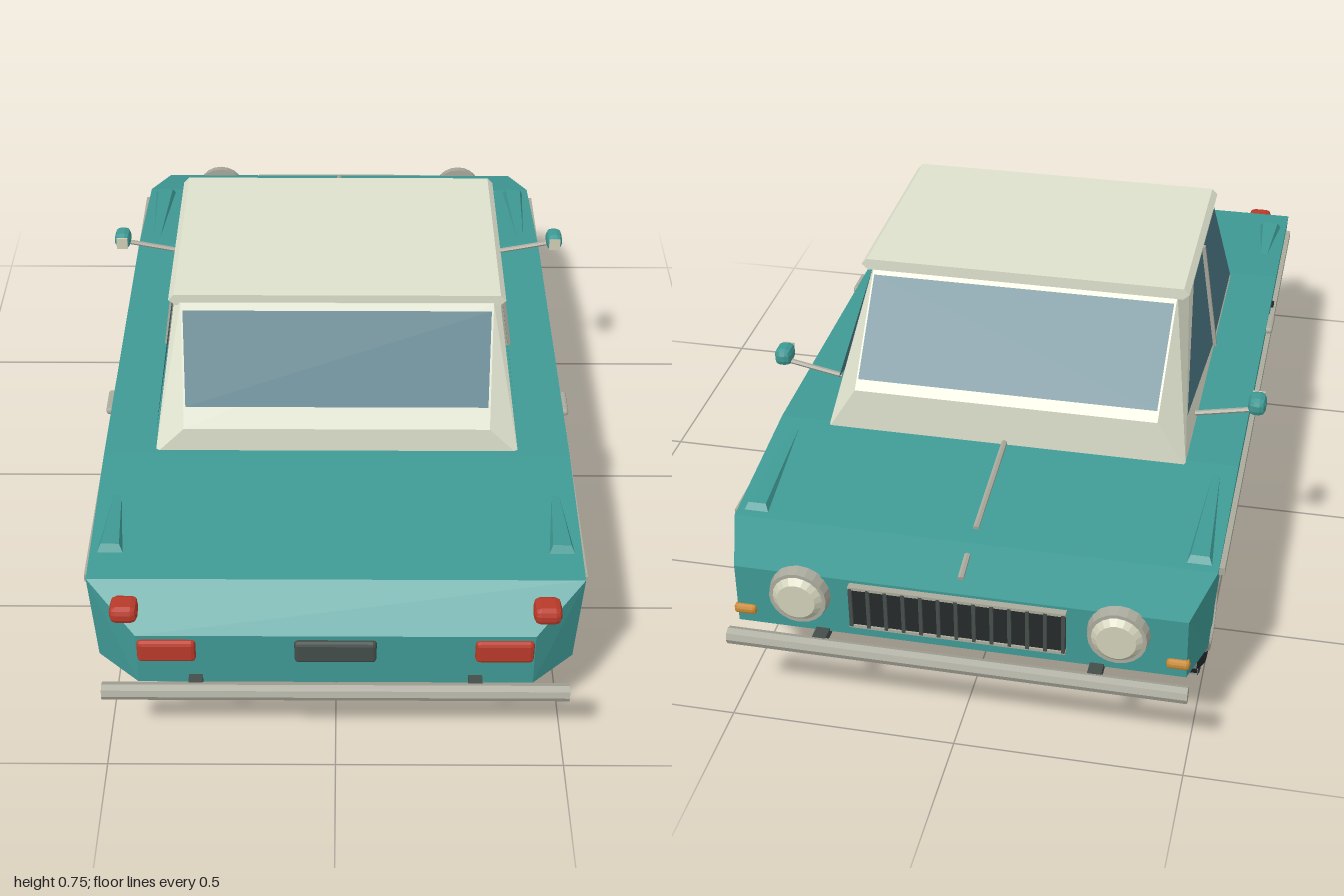
import * as THREE from 'three';
import { ConvexGeometry } from 'three/addons/geometries/ConvexGeometry.js';
import { RoundedBoxGeometry } from 'three/addons/geometries/RoundedBoxGeometry.js';

const mat = (color, extra = {}) => {
  const m = new THREE.MeshStandardMaterial({ flatShading: true, ...extra });
  m.color.set(color);
  return m;
};
const teal = mat(0x3f9994), cream = mat(0xdde0cc), glass = mat(0x4a7682, { side: THREE.DoubleSide });
const chrome = mat(0xa9a99c), black = mat(0x25292b), red = mat(0xb83a2a), orange = mat(0xc98a35);
const lens = mat(0xd0cfb8), grey = mat(0x444d4a);

const V = (x, y, z) => new THREE.Vector3(x, y, z);

function add(parent, name, geo, material, x = 0, y = 0, z = 0) {
  const m = new THREE.Mesh(geo, material);
  m.name = name;
  m.position.set(x, y, z);
  parent.add(m);
  return m;
}
const box = (p, name, material, w, h, d, x, y, z) => add(p, name, new THREE.BoxGeometry(w, h, d), material, x, y, z);
const soft = (p, name, material, w, h, d, x, y, z) =>
  add(p, name, new RoundedBoxGeometry(w, h, d, 1, Math.min(w, h, d) * 0.35), material, x, y, z);

// Straight bar between two points
function bar(p, name, material, a, b, r, sides = 6) {
  const m = add(p, name, new THREE.CylinderGeometry(r, r, a.distanceTo(b), sides), material);
  m.position.copy(a).lerp(b, 0.5);
  m.quaternion.setFromUnitVectors(V(0, 1, 0), b.clone().sub(a).normalize());
  return m;
}

// Flat panel from corner points, given in order around its edge
function panel(p, name, material, pts) {
  const g = new THREE.BufferGeometry().setFromPoints(pts);
  const index = [];
  for (let i = 1; i < pts.length - 1; i++) index.push(0, i, i + 1);
  g.setIndex(index);
  g.computeVertexNormals();
  return add(p, name, g, material);
}

// Half width of the bodywork, drawn in at both ends
function halfWidth(y, z) {
  const w = 0.52 + 0.015 * (y - 0.19) / 0.24;
  if (z > 0.85) return THREE.MathUtils.lerp(w, 0.425, (z - 0.85) / 0.095);
  if (z < -0.8) return THREE.MathUtils.lerp(w, 0.49, (-0.8 - z) / 0.135);
  return w;
}

// Side profile extruded from x0 to x1, outer corners follow halfWidth
function slab(p, name, shape, x0, x1) {
  const g = new THREE.ExtrudeGeometry(shape, { depth: x1 - x0, bevelEnabled: false, curveSegments: 14 });
  g.translate(0, 0, x0).rotateY(Math.PI / 2);
  const a = g.attributes.position;
  for (let i = 0; i < a.count; i++) {
    const x = a.getX(i);
    if (Math.abs(x) > 0.5) a.setX(i, Math.sign(x) * halfWidth(a.getY(i), a.getZ(i)));
  }
  g.computeVertexNormals();
  return add(p, name, g, teal);
}
const profile = pts => new THREE.Shape(pts.map(([z, y]) => new THREE.Vector2(-z, y)));

const AXLES = [0.63, -0.62], ARCH = 0.175, HUB_Y = 0.145;

function buildBody(car) {
  const g = new THREE.Group();
  g.name = 'body';
  car.add(g);
  const top = [[-0.8, 0.19], [-0.8, 0.393], [-0.45, 0.43], [0.45, 0.43], [0.85, 0.41], [0.85, 0.19]];
  slab(g, 'bodyCentre', profile(top), -0.37, 0.37);
  slab(g, 'nose', profile([[-0.8, 0.19], [-0.935, 0.215], [-0.935, 0.36], [-0.8, 0.393]]), -0.54, 0.54);
  slab(g, 'tail', profile([[0.85, 0.19], [0.945, 0.2], [0.945, 0.335], [0.85, 0.41]]), -0.54, 0.54);
  // flanks with wheel arches
  const flank = profile(top);
  const a = Math.asin((0.19 - HUB_Y) / ARCH);
  for (const z of AXLES) flank.absarc(-z, HUB_Y, ARCH, Math.PI - a, a, true);
  flank.lineTo(0.8, 0.19);
  for (const s of [1, -1]) {
    slab(g, 'flank', flank, s > 0 ? 0.37 : -0.54, s > 0 ? 0.54 : -0.37);
    for (const z of AXLES) {
      const liner = add(g, 'archLiner', new THREE.CircleGeometry(ARCH - 0.002, 20, a, Math.PI - 2 * a), black, s * 0.374, HUB_Y, z);
      liner.rotation.y = s * Math.PI / 2;
    }
    // tapering ridges on the wings
    for (const [zw, zt, y0, y1] of [[0.78, 0.58, 0.414, 0.423], [-0.79, -0.49, 0.394, 0.426]]) {
      const end = Math.sign(zw) * 0.02;
      add(g, 'wingRidge', new ConvexGeometry([
        V(s * 0.455, y0 - 0.015, zw), V(s * 0.525, y0 - 0.015, zw), V(s * 0.47, y0 + 0.016, zw - end),
        V(s * 0.51, y0 + 0.016, zw - end), V(s * 0.482, y1, zt), V(s * 0.498, y1, zt), V(s * 0.49, y1 - 0.02, zt)]), teal);
    }
    // side trim, door seams and handle
    box(g, 'sideTrim', chrome, 0.016, 0.018, 1.58, s * 0.536, 0.375, 0.02);
    const seam = box(g, 'doorSeam', black, 0.008, 0.18, 0.008, s * 0.53, 0.31, 0.37);
    seam.rotation.z = -s * 0.06;
    box(g, 'doorSill', black, 0.008, 0.008, 0.7, s * 0.524, 0.222, 0.02);
    soft(g, 'doorHandle', chrome, 0.02, 0.016, 0.08, s * 0.54, 0.413, 0.23);
  }
  // bonnet strip
  bar(g, 'bonnetStrip', chrome, V(0, 0.434, -0.46), V(0, 0.4, -0.755), 0.007);
  bar(g, 'bonnetBadgeStrip', chrome, V(0, 0.388, -0.835), V(0, 0.373, -0.9), 0.007);
}

function buildCabin(car) {
  const g = new THREE.Group();
  g.name = 'cabin';
  car.add(g);
  const pts = [];
  for (const s of [1, -1]) pts.push(
    V(s * 0.418, 0.42, 0.435), V(s * 0.418, 0.42, -0.465), V(s * 0.35, 0.49, 0.432), V(s * 0.35, 0.53, -0.463),
    V(s * 0.372, 0.735, 0.262), V(s * 0.372, 0.735, -0.15), V(s * 0.357, 0.735, 0.28), V(s * 0.357, 0.735, -0.24));
  add(g, 'cabinShell', new ConvexGeometry(pts), cream);
  // roof plate with pointed side edges
  const roof = new THREE.Shape([[-0.37, 0.728], [0.37, 0.728], [0.385, 0.741], [0.372, 0.755], [-0.372, 0.755], [-0.385, 0.741]]
    .map(q => new THREE.Vector2(...q)));
  add(g, 'roof', new THREE.ExtrudeGeometry(roof, { depth: 0.525, bevelEnabled: false }).translate(0, 0, -0.247), cream);
  // windscreens, lying just off the shell
  const rearZ = y => 0.436 - (y - 0.49) * 0.62, frontZ = y => -0.467 + (y - 0.53) * 1.088;
  for (const [name, f, y0] of [['rearWindow', rearZ, 0.535], ['windscreen', frontZ, 0.55]])
    panel(g, name, glass, [V(-0.346, y0, f(y0)), V(0.346, y0, f(y0)), V(0.352, 0.722, f(0.722)), V(-0.352, 0.722, f(0.722))]);
  // side glass, door pillar and mirror
  const sideX = y => 0.423 - (y - 0.42) * 0.146;
  for (const s of [1, -1]) {
    const side = (name, list) => panel(g, name, glass, list.map(([z, y]) => V(s * sideX(y), y, z)));
    side('rearSideWindow', [[0.395, 0.457], [0.262, 0.712], [0.043, 0.712], [0.043, 0.457]]);
    side('frontSideWindow', [[0.028, 0.457], [0.028, 0.712], [-0.13, 0.712], [-0.395, 0.515]]);
    bar(g, 'doorPillar', chrome, V(s * sideX(0.45), 0.45, 0.035), V(s * sideX(0.72), 0.72, 0.035), 0.009);
    bar(g, 'mirrorStalk', chrome, V(s * 0.42, 0.485, -0.335), V(s * 0.545, 0.51, -0.335), 0.006);
    soft(g, 'mirrorHousing', teal, 0.04, 0.042, 0.055, s * 0.56, 0.525, -0.33);
    box(g, 'mirrorGlass', lens, 0.028, 0.03, 0.004, s * 0.56, 0.525, -0.302);
  }
}

function buildFittings(car) {
  // bumpers
  for (const [name, z] of [['rearBumper', 0.98], ['frontBumper', -0.98]]) {
    bar(car, name, chrome, V(-0.5, 0.207, z), V(0.5, 0.207, z), 0.019, 8);
    for (const s of [1, -1]) box(car, 'bumperBracket', grey, 0.03, 0.02, 0.06, s * 0.3, 0.212, z * 0.965);
  }
  // tail lamps and number panel
  for (const s of [1, -1]) {
    soft(car, 'tailLamp', red, 0.125, 0.056, 0.025, s * 0.36, 0.296, 0.945);
    soft(car, 'upperTailLamp', red, 0.06, 0.04, 0.06, s * 0.45, 0.37, 0.9);
    // headlamps and indicators
    const rim = add(car, 'headlampRim', new THREE.CylinderGeometry(0.063, 0.068, 0.026, 20), chrome, s * 0.345, 0.312, -0.945);
    rim.rotation.x = -Math.PI / 2;
    const glassDisc = add(car, 'headlampLens', new THREE.CylinderGeometry(0.042, 0.057, 0.014, 20), lens, s * 0.345, 0.312, -0.963);
    glassDisc.rotation.x = -Math.PI / 2;
    soft(car, 'indicator', orange, 0.05, 0.022, 0.022, s * 0.472, 0.25, -0.935);
  }
  soft(car, 'numberPanel', grey, 0.175, 0.056, 0.022, 0, 0.296, 0.947);
  // grille with upright slats
  box(car, 'grille', black, 0.46, 0.1, 0.016, 0, 0.3, -0.939);
  for (const s of [1, -1]) box(car, 'grilleRail', chrome, 0.47, 0.007, 0.02, 0, 0.3 + s * 0.05, -0.941);
  for (let i = 0; i <= 12; i++) box(car, 'grilleSlat', grey, 0.008, 0.1, 0.014, -0.23 + i * 0.46 / 12, 0.3, -0.945);
}

function buildWheel(name, x, z) {
  const g = new THREE.Group();
  g.name = name;
  g.position.set(x, HUB_Y, z);
  // lathe axis lies along x
  const spun = (n, m, pts) => {
    const geo = new THREE.LatheGeometry(pts.map(q => new THREE.Vector2(...q)), 28);
    add(g, n, geo.rotateZ(-Math.PI / 2), m);
  };
  spun('tyre', black, [[0.085, -0.045], [0.115, -0.05], [0.132, -0.036], [0.134, 0], [0.132, 0.036], [0.115, 0.05], [0.085, 0.045], [0.085, -0.045]]);
  spun('wheelDisc', grey, [[0, -0.04], [0.087, -0.04], [0.087, 0.04], [0, 0.04]]);
  spun('hubCap', teal, [[0, -0.058], [0.036, -0.056], [0.046, -0.038], [0.046, 0.038], [0.036, 0.056], [0, 0.058]]);
  for (const s of [1, -1]) {
    const rim = add(g, 'rim', new THREE.TorusGeometry(0.081, 0.011, 6, 28), chrome, s * 0.048);
    rim.rotation.y = Math.PI / 2;
    for (let i = 0; i < 8; i++) {
      const t = i * Math.PI / 4;
      const spoke = box(g, 'spoke', chrome, 0.014, 0.038, 0.014, s * 0.043, 0.06 * Math.cos(t), 0.06 * Math.sin(t));
      spoke.rotation.x = t;
    }
    // staggered tread blocks
    for (let i = 0; i < 18; i++) {
      const t = (i + (s > 0 ? 0.5 : 0)) * Math.PI / 9;
      const block = box(g, 'treadBlock', black, 0.036, 0.014, 0.028, s * 0.02, 0.137 * Math.cos(t), 0.137 * Math.sin(t));
      block.rotation.x = t;
    }
  }
  return g;
}

export function createModel() {
  const car = new THREE.Group();
  car.name = 'car';
  buildBody(car);
  buildCabin(car);
  buildFittings(car);
  for (const s of [1, -1]) AXLES.forEach((z, i) => car.add(buildWheel(i ? 'frontWheel' : 'rearWheel', s * 0.455, z)));
  return car;
}
